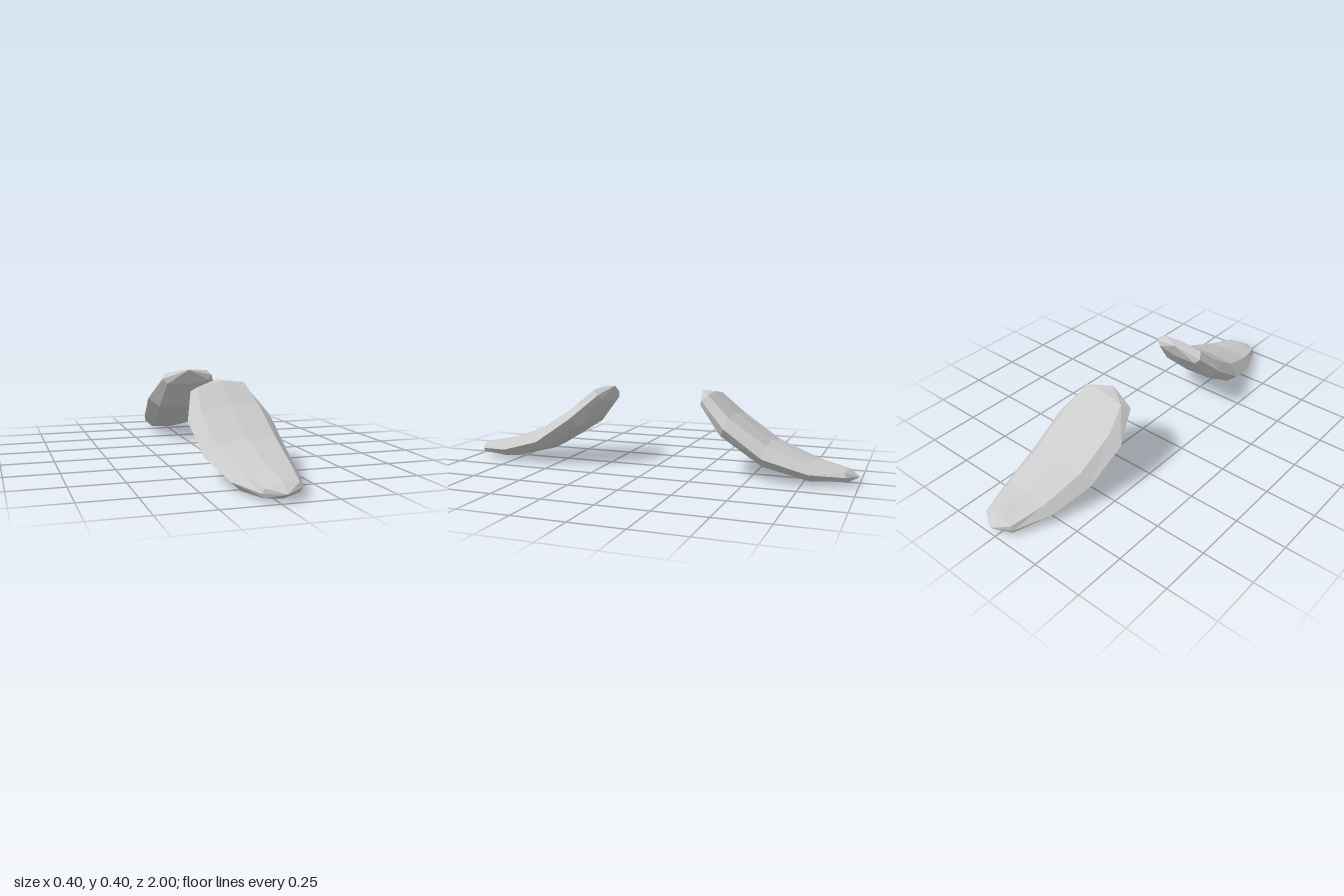
import * as THREE from 'three';

// Cross-sections of one curved petal, from the low outer tip to the raised inner end:
// centre x, rim left/right x, shoulder left/right x, top z/y, rim z/y, underside z/y
const STATIONS = [
  [0.03, -0.06, 0.113, -0.05, 0.10, 0.94, 0.075, 0.945, 0.040, 0.945, 0.008],
  [0.02, -0.13, 0.168, -0.09, 0.13, 0.79, 0.105, 0.785, 0.053, 0.79, 0.002],
  [0.01, -0.18, 0.197, -0.13, 0.145, 0.585, 0.180, 0.58, 0.113, 0.57, 0.056],
  [0.00, -0.20, 0.190, -0.145, 0.135, 0.405, 0.298, 0.395, 0.240, 0.365, 0.185],
  [-0.015, -0.15, 0.120, -0.125, 0.10, 0.295, 0.395, 0.267, 0.358, 0.257, 0.32],
];
const OUTER_TIP = [0.025, 0.038, 1.0];
const INNER_TIP = [-0.015, 0.398, 0.233];
const TILT = 0.007; // the right edge sits a little higher
const CROWN = 0.013; // top and underside bulge along the middle

// Eight points around one cross-section: left rim, over the top, right rim, underneath
function section([xc, rimL, rimR, inL, inR, tz, ty, rz, ry, bz, by]) {
  return [
    [rimL, ry - TILT, rz],
    [inL, ty - CROWN - TILT, tz + 0.01],
    [xc, ty, tz],
    [inR, ty - CROWN + TILT, tz],
    [rimR, ry + TILT, rz],
    [inR, by + CROWN + TILT, bz],
    [xc, by, bz],
    [inL, by + CROWN - TILT, bz],
  ];
}

function petalGeometry(side) {
  const points = [...STATIONS.flatMap(section), OUTER_TIP, INNER_TIP];
  const n = 8, last = STATIONS.length - 1;
  const outer = points.length - 2, inner = points.length - 1;
  const index = [];
  // reverse the corners on the mirrored petal
  const tri = (a, b, c) => index.push(...(side > 0 ? [a, b, c] : [a, c, b]));

  for (let i = 0; i < n; i++) {
    const k = (i + 1) % n;
    tri(outer, k, i);
    for (let j = 0; j < last; j++) {
      const a = j * n + i, b = j * n + k;
      tri(a, b, b + n);
      tri(a, b + n, a + n);
    }
    tri(last * n + i, last * n + k, inner);
  }

  const geometry = new THREE.BufferGeometry();
  const positions = points.flatMap(([x, y, z]) => [x, y, z * side]);
  geometry.setAttribute('position', new THREE.Float32BufferAttribute(positions, 3));
  geometry.setIndex(index);
  const flat = geometry.toNonIndexed();
  flat.computeVertexNormals();
  return flat;
}

export function createModel() {
  const model = new THREE.Group();
  const material = new THREE.MeshStandardMaterial({ color: 0xcccccc, flatShading: true });

  // Two mirrored petals, facing each other front to back
  for (const [name, side] of [['frontPetal', 1], ['backPetal', -1]]) {
    const petal = new THREE.Mesh(petalGeometry(side), material);
    petal.name = name;
    model.add(petal);
  }
  return model;
}
